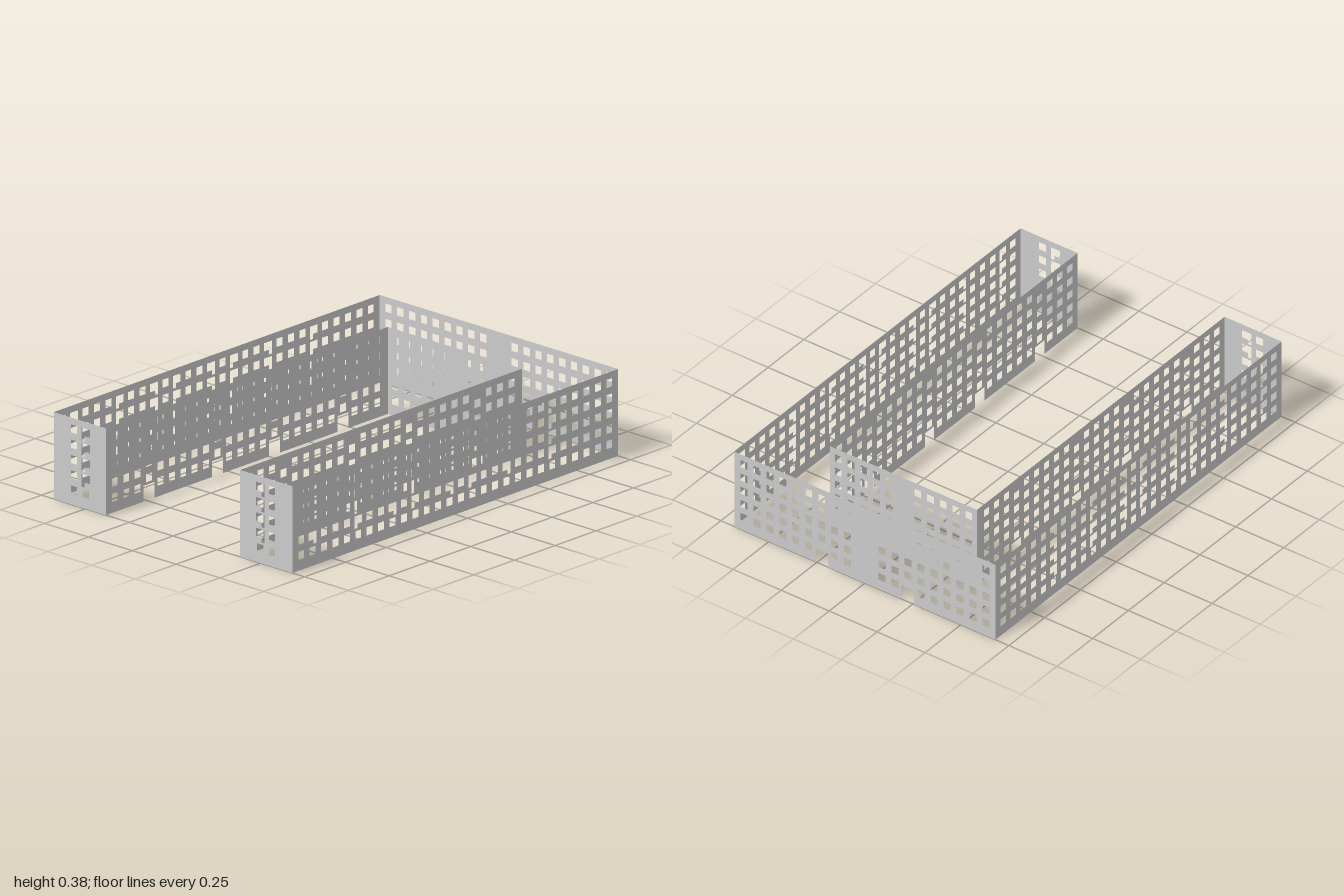
import * as THREE from 'three';

const H = 0.385;                                   // wall height
const ROWS = [0.066, 0.133, 0.201, 0.269, 0.337];  // window centres per storey
const W = 0.036, HALF = W / 2;                     // window size
const DOOR_W = 0.066, DOOR_H = 0.07;
const material = new THREE.MeshStandardMaterial({ color: 0xcccccc, side: THREE.DoubleSide });

const polygon = (C, pts) => new C(pts.map(([x, y]) => new THREE.Vector2(x, y)));
const near = (list, u) => list.some((v) => Math.abs(v - u) < 0.03);

function windowHole(u, y) {
  return polygon(THREE.Path, [[u - HALF, y - HALF], [u - HALF, y + HALF], [u + HALF, y + HALF], [u + HALF, y - HALF]]);
}

// Wide window joined to a narrow balcony door on one side (side = +1 or -1)
function balconyHole(u, y, side) {
  const w = 0.024, leg = 0.006, drop = 0.022;
  return polygon(THREE.Path, [
    [u - side * w, y - HALF], [u - side * w, y + HALF], [u + side * w, y + HALF],
    [u + side * w, y - HALF - drop], [u + side * leg, y - HALF - drop], [u + side * leg, y - HALF],
  ]);
}

// Flat wall from u0 to u1; doors are notches in the bottom edge
function wall(name, u0, u1, { columns, doors = [], balconies = [], stairs = false }) {
  const pts = [[u0, 0]];
  for (const d of [...doors].sort((a, b) => a - b)) {
    const a = d - DOOR_W / 2, b = d + DOOR_W / 2;
    pts.push([a, 0], [a, DOOR_H], [b, DOOR_H], [b, 0]);
  }
  pts.push([u1, 0], [u1, H], [u0, H]);
  const shape = polygon(THREE.Shape, pts);
  for (const u of columns) {
    const balcony = balconies.find((b) => Math.abs(b.u - u) < 0.01);
    const overDoor = near(doors, u);
    ROWS.forEach((y, i) => {
      if (overDoor && i === 0) return;
      // stairwell windows sit half a storey lower
      if (overDoor && stairs) shape.holes.push(windowHole(u, y - 0.034));
      else if (balcony && i > 0) shape.holes.push(balconyHole(u, y, balcony.side));
      else shape.holes.push(windowHole(u, y));
    });
  }
  const mesh = new THREE.Mesh(new THREE.ShapeGeometry(shape), material);
  mesh.name = name;
  return mesh;
}

const series = (n, start, step) => Array.from({ length: n }, (_, i) => start + i * step);

export function createModel() {
  const group = new THREE.Group();
  group.name = 'courtyardBuilding';

  const stairIndex = [3, 9, 14, 20];
  const sideColumns = series(28, 0.945, -0.07);
  const stairs = stairIndex.map((i) => sideColumns[i]);
  // Balconies lie symmetrically about each stairwell
  const balconies = stairIndex.flatMap((s, k) => {
    const d = k === 0 || k === 3 ? 2 : 1;
    return [{ u: sideColumns[s - d], side: -1 }, { u: sideColumns[s + d], side: 1 }];
  });

  for (const s of [1, -1]) {
    const tag = s > 0 ? 'left' : 'right';
    // Long outer wall of the wing
    const outer = wall(tag + 'OuterWall', -1, 1, { columns: sideColumns, balconies });
    outer.rotation.y = -Math.PI / 2;
    outer.position.x = s * 0.68;

    // Courtyard wall of the wing with stairwells and entrances
    const inner = wall(tag + 'CourtyardWall', -0.73, 1, { columns: sideColumns.slice(0, 24), doors: stairs, stairs: true });
    inner.rotation.y = -Math.PI / 2;
    inner.position.x = s * 0.383;

    // Front end wall of the wing
    const [a, b] = s > 0 ? [0.383, 0.68] : [-0.68, -0.383];
    const end = wall(tag + 'EndWall', a, b, {
      columns: [s * 0.498, s * 0.565],
      balconies: [{ u: s * 0.498, side: s }],
    });
    end.position.z = 1;
    group.add(outer, inner, end);
  }

  // Rear wall and the courtyard wall parallel to it
  const mirrored = (cols) => [...cols, ...cols.map((c) => -c)];
  const back = wall('backWall', -0.68, 0.68, { columns: mirrored(series(9, 0.63, -0.0675)), doors: [-0.222, 0.222] });
  back.position.z = -1;
  const backInner = wall('backCourtyardWall', -0.383, 0.383, {
    columns: mirrored(series(5, 0.34, -0.0665)), doors: [-0.207, 0.207],
  });
  backInner.position.z = -0.73;
  group.add(back, backInner);

  return group;
}
